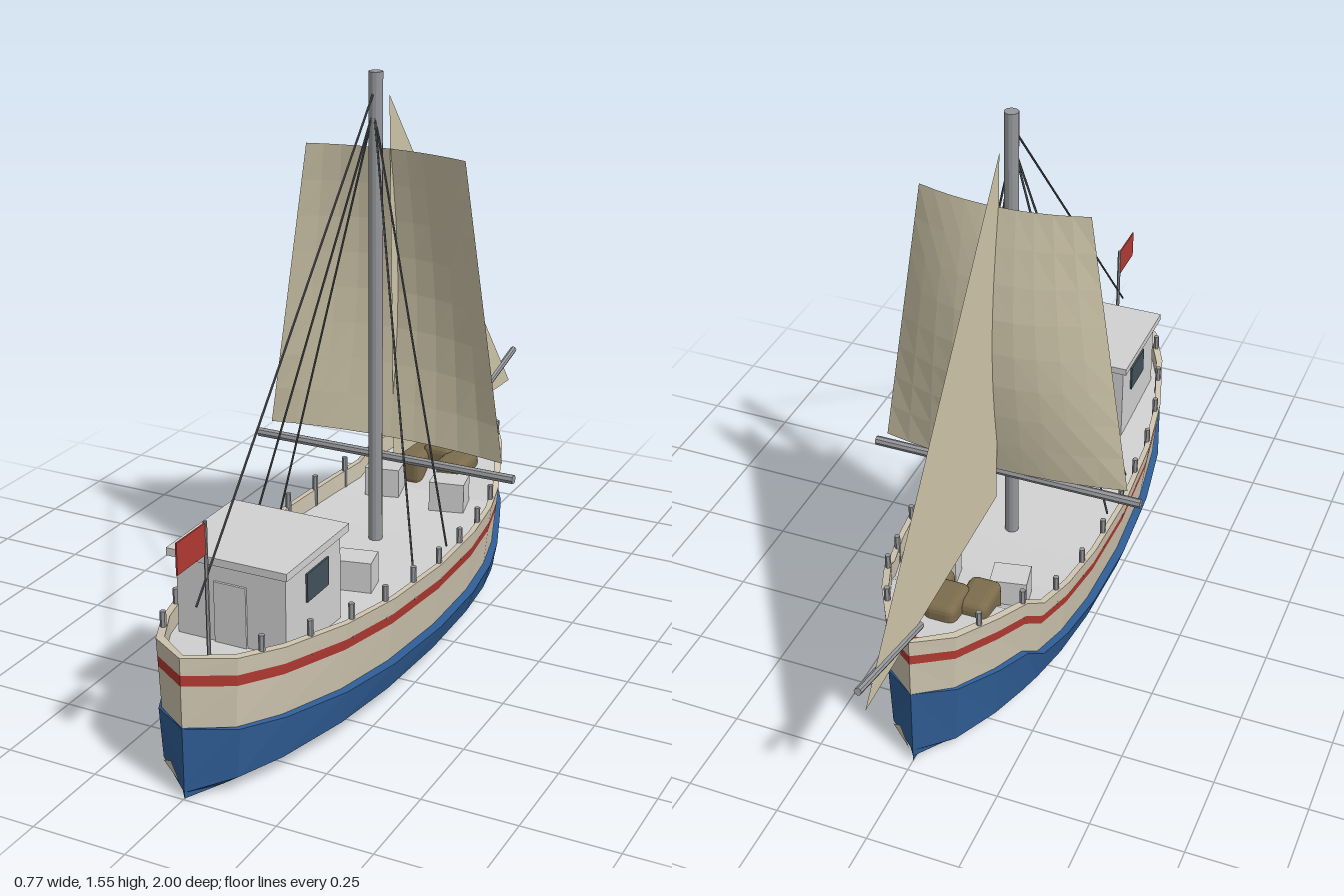
import * as THREE from 'three';
import { RoundedBoxGeometry } from 'three/addons/geometries/RoundedBoxGeometry.js';

const mat = (name, color, extra = {}) => {
  const m = new THREE.MeshStandardMaterial({ color, flatShading: true, ...extra });
  m.name = name;
  return m;
};

// Hull stations, stern to bow: z, half width, rail height, top of blue
const STATIONS = [
  [0.995, 0.0, 0.375, 0.19], [0.92, 0.112, 0.366, 0.18], [0.8, 0.172, 0.352, 0.166],
  [0.6, 0.232, 0.334, 0.148], [0.4, 0.264, 0.32, 0.136], [0.15, 0.278, 0.309, 0.127],
  [-0.08, 0.271, 0.306, 0.125], [-0.24, 0.252, 0.312, 0.132], [-0.355, 0.225, 0.324, 0.146],
  [-0.42, 0.204, 0.37, 0.195], [-0.52, 0.165, 0.388, 0.208], [-0.64, 0.097, 0.402, 0.224],
  [-0.715, 0.0, 0.415, 0.235],
];

// Cross-section of the +x half, from keel over the rail to the deck centre
function section([z, w, rail, blue]) {
  const chine = 0.04 + 0.075 * w;
  const zi = 0.135 + (z - 0.135) * 0.98;
  const wi = Math.max(0, w - 0.015);
  const deck = rail - 0.05;
  return [
    [0, 0.004, z], [0.55 * w, 0.02, z], [0.92 * w, chine, z], [w, blue, z],
    [0.92 * w, blue + 0.004, z], [0.965 * w, rail - 0.073, z], [0.98 * w, rail - 0.045, z],
    [w, rail, z], [wi, rail, zi], [wi, deck, zi], [0, deck, zi],
  ];
}
const ROWS = STATIONS.map(section);
const LAST = ROWS.length - 1;

// Both sides of the hull skin between two section rows and two stations
function band(r0, r1, s0 = 0, s1 = LAST) {
  const pos = [];
  for (const side of [1, -1]) {
    const put = (...pts) => {
      if (side < 0) pts.reverse();
      for (const p of pts) pos.push(p[0] * side, p[1], p[2]);
    };
    for (let i = s0; i < s1; i++) {
      for (let r = r0; r < r1; r++) {
        const a = ROWS[i][r], b = ROWS[i + 1][r], c = ROWS[i + 1][r + 1], d = ROWS[i][r + 1];
        put(a, b, c);
        put(a, c, d);
      }
    }
  }
  return fromPositions(pos);
}

function fromPositions(pos) {
  const g = new THREE.BufferGeometry();
  g.setAttribute('position', new THREE.Float32BufferAttribute(pos, 3));
  g.computeVertexNormals();
  return g;
}

export function createModel() {
  const cream = mat('cream paint', 0xcfc5b0);
  const blue = mat('blue paint', 0x2f5c94);
  const red = mat('red paint', 0xb23a32, { side: THREE.DoubleSide });
  const canvas = mat('sail canvas', 0xcfc6aa, { side: THREE.DoubleSide });
  const white = mat('deck and cabin grey', 0xd2d2d2);
  const spar = mat('spar grey', 0x96979b);
  const rope = mat('rope', 0x54585c);
  const glass = mat('window glass', 0x42525a);
  const sacking = mat('sacking', 0x7c6c4c);

  const model = new THREE.Group();
  const add = (name, geometry, material, x = 0, y = 0, z = 0, parent = model) => {
    const m = new THREE.Mesh(geometry, material);
    m.name = name;
    m.position.set(x, y, z);
    parent.add(m);
    return m;
  };
  const box = (name, w, h, d, material, x, y, z, parent) =>
    add(name, new THREE.BoxGeometry(w, h, d), material, x, y, z, parent);
  // Round bar between two points
  const rod = (name, from, to, radius, material, sides = 8) => {
    const a = new THREE.Vector3(...from), b = new THREE.Vector3(...to);
    const dir = b.clone().sub(a);
    const m = add(name, new THREE.CylinderGeometry(radius, radius, dir.length(), sides), material);
    m.position.copy(a).add(b).multiplyScalar(0.5);
    m.quaternion.setFromUnitVectors(new THREE.Vector3(0, 1, 0), dir.normalize());
  };

  // Hull bands, bulwark and deck
  add('lowerHull', band(0, 4), blue);
  add('upperHull', band(4, 5), cream);
  add('hullStripe', band(5, 6), red);
  add('bulwark', band(6, 9), cream);
  add('deck', band(9, 10, 1, LAST - 1), white);
  add('sternDeckCorner', band(9, 10, 0, 1), red);
  add('bowDeckCorner', band(9, 10, LAST - 1, LAST), red);

  // Small cream triangles low on the stem and the stern
  const patch = (name, s, side) => {
    const [a, b, c, d] = [ROWS[s][2], ROWS[s + 1][2], ROWS[s + 1][3], ROWS[s][3]]
      .map((p) => new THREE.Vector3(p[0] * side, p[1], p[2]));
    const at = (u, v) => a.clone().lerp(b, u).lerp(d.clone().lerp(c, u), v)
      .add(new THREE.Vector3(0.004 * side, 0, s ? -0.003 : 0.003));
    const pts = [at(0.1, 0), at(0.9, 0), at(0.5, 0.2)];
    if (side < 0) pts.reverse();
    add(name, fromPositions(pts.flatMap((p) => p.toArray())), cream);
  };
  patch('bowPatch', LAST - 1, 1);
  patch('sternPatch', 0, -1);

  // Rail posts, spaced evenly along both sides
  for (let i = 0; i < 11; i++) {
    const z = 0.85 - i * 0.1415;
    const s = STATIONS.findIndex((st) => st[0] < z);
    const [p, q] = [STATIONS[s - 1], STATIONS[s]];
    const t = (p[0] - z) / (p[0] - q[0]);
    const x = p[1] + (q[1] - p[1]) * t - 0.012, y = p[2] + (q[2] - p[2]) * t;
    for (const side of [1, -1]) rod('railPost', [side * x, y - 0.05, z], [side * x, y + 0.042, z], 0.008, spar, 6);
  }

  // Cabin with roof, windows and door
  const cabin = new THREE.Group();
  cabin.name = 'cabin';
  model.add(cabin);
  box('cabinWalls', 0.3, 0.25, 0.28, white, 0, 0.385, 0.62, cabin);
  box('cabinRoof', 0.33, 0.02, 0.32, white, 0, 0.52, 0.62, cabin);
  for (const side of [1, -1]) box('sideWindow', 0.008, 0.075, 0.11, glass, side * 0.151, 0.438, 0.605, cabin);
  box('foreWindow', 0.2, 0.075, 0.008, glass, 0, 0.438, 0.479, cabin);
  box('cabinDoor', 0.088, 0.16, 0.008, white, 0, 0.38, 0.762, cabin);

  // Deck crates
  for (const [x, z, turn] of [[-0.11, -0.305, 0.2], [0.1, -0.29, 0.2], [-0.092, 0.245, 0.2], [0.092, 0.28, 0.22]]) {
    box('crate', 0.1, 0.1, 0.078, white, x, 0.3, z).rotation.y = turn;
  }

  // Sacks on the foredeck
  for (const [x, y, z] of [[-0.066, 0.32, -0.42], [0.066, 0.32, -0.42], [0, 0.335, -0.475]]) {
    add('sack', new RoundedBoxGeometry(0.09, 0.1, 0.125, 2, 0.022), sacking, x, y, z);
  }

  // Mast, yard and bowsprit
  rod('mast', [0, 0.25, -0.02], [0, 1.555, -0.02], 0.019, spar, 12);
  rod('yard', [-0.387, 0.488, -0.064], [0.387, 0.488, -0.064], 0.013, spar);
  rod('bowsprit', [0, 0.412, -0.64], [0, 0.502, -0.998], 0.01, spar);

  // Rigging
  rod('sternStay', [0, 1.5, -0.005], [0, 0.47, 0.915], 0.003, rope, 5);
  for (const side of [1, -1]) {
    rod('aftShroud', [0, 1.46, -0.01], [side * 0.242, 0.32, 0.25], 0.003, rope, 5);
    rod('foreShroud', [0, 1.46, -0.01], [side * 0.252, 0.32, 0.065], 0.003, rope, 5);
  }

  // Square sail, bellied toward the bow and narrower at the top
  const sail = new THREE.PlaneGeometry(1, 1, 10, 8);
  const p = sail.attributes.position;
  for (let i = 0; i < p.count; i++) {
    const u = p.getX(i) * 2, v = p.getY(i) + 0.5;
    const belly = (1 - u * u) * (0.038 + 0.048 * Math.sin(Math.PI * v));
    p.setXYZ(i, u * (0.35 - 0.12 * v), 0.525 + 0.81 * v, -0.07 - belly);
  }
  sail.computeVertexNormals();
  add('squareSail', sail, canvas);

  // Triangular headsail on the centre line
  add('headsail', fromPositions([0, 1.48, -0.1, 0, 0.45, -0.133, 0, 0.41, -0.965]), canvas);

  // Stern flag
  rod('flagPole', [0, 0.31, 0.865], [0, 0.668, 0.865], 0.005, spar, 6);
  box('flag', 0.004, 0.08, 0.124, red, 0, 0.624, 0.93);

  return model;
}
